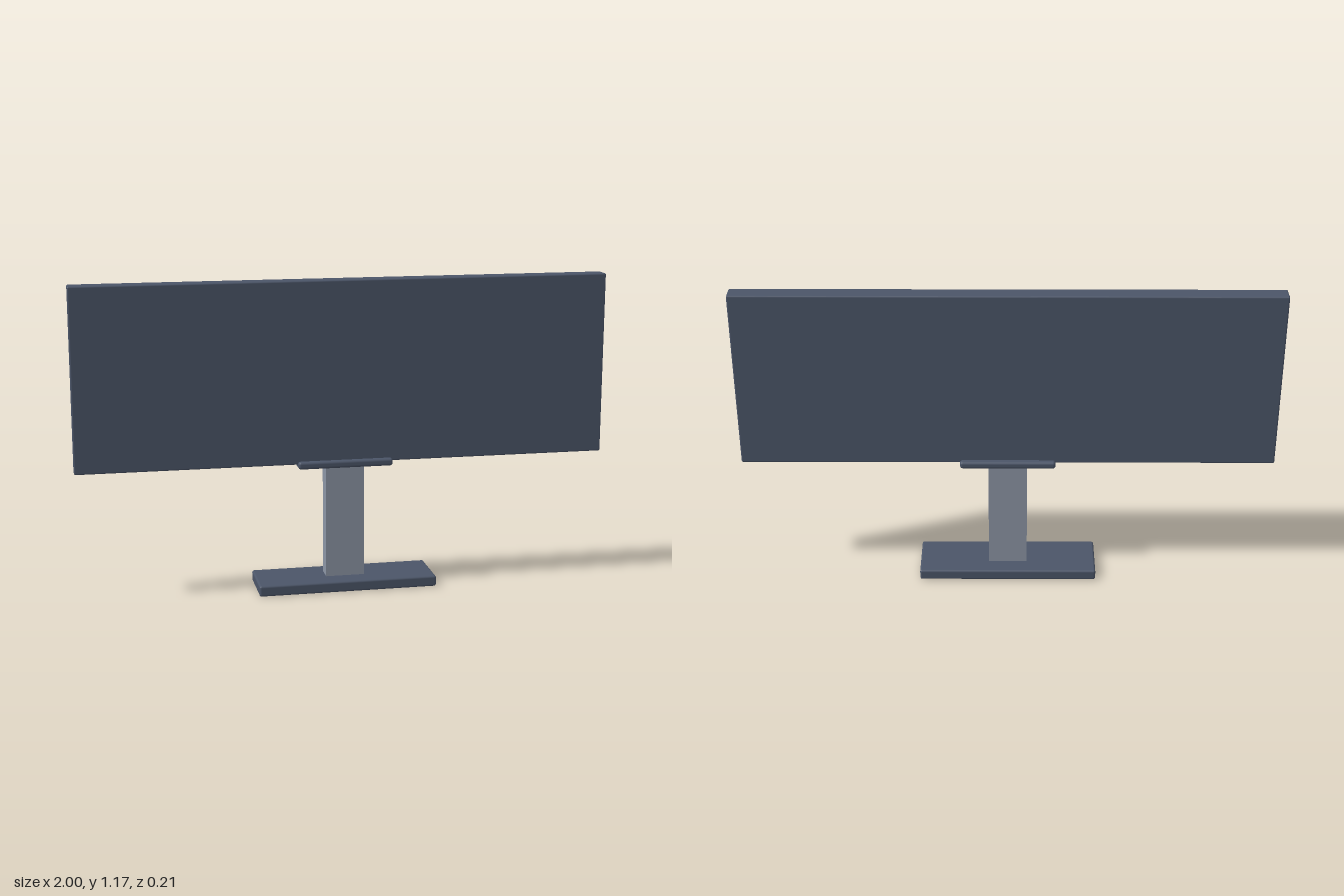
import * as THREE from 'three';
import { RoundedBoxGeometry } from 'three/addons/geometries/RoundedBoxGeometry.js';

export function createModel() {
  const model = new THREE.Group();
  const dark = new THREE.MeshStandardMaterial({ color: 0x4b5568 });
  const light = new THREE.MeshStandardMaterial({ color: 0x8c95a5 });

  // Box standing on y = bottom, with softened edges when radius > 0
  function addBox(name, [w, h, d], bottom, z, radius, material) {
    const geometry = radius > 0
      ? new RoundedBoxGeometry(w, h, d, 3, radius)
      : new THREE.BoxGeometry(w, h, d);
    const mesh = new THREE.Mesh(geometry, material);
    mesh.name = name;
    mesh.position.set(0, bottom + h / 2, z);
    model.add(mesh);
  }

  // Flat foot, upright post, mounting bracket and wide panel
  addBox('base', [0.676, 0.041, 0.21], 0, 0, 0.008, dark);
  addBox('column', [0.146, 0.44, 0.066], 0.034, -0.004, 0, light);
  addBox('bracket', [0.358, 0.028, 0.105], 0.466, 0, 0.01, dark);
  addBox('panel', [2, 0.685, 0.066], 0.482, 0.001, 0.006, dark);

  return model;
}
